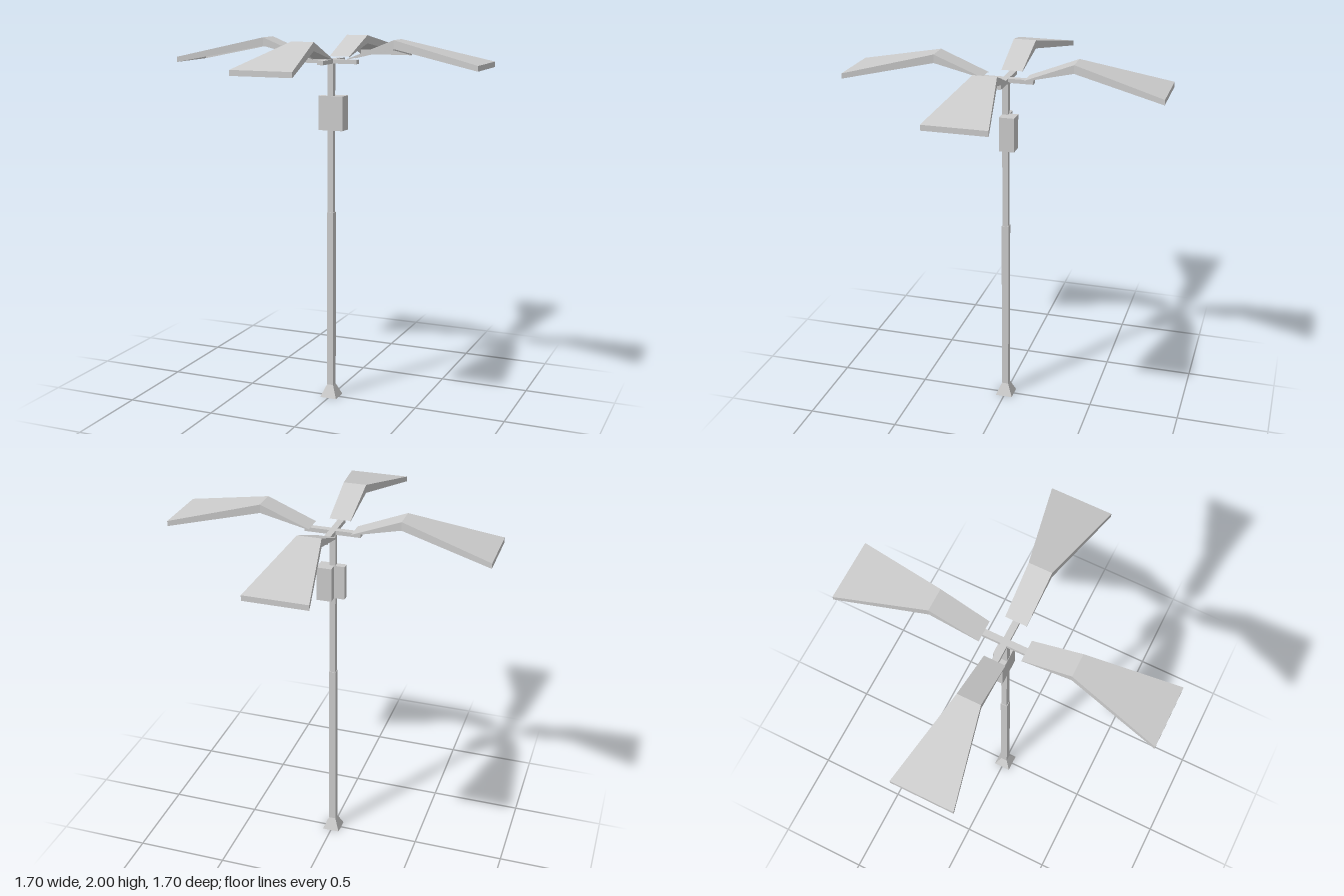
import * as THREE from 'three';

const material = new THREE.MeshStandardMaterial({ color: 0xcccccc, flatShading: true });
const shellMaterial = new THREE.MeshStandardMaterial({ color: 0xcccccc, flatShading: true, side: THREE.DoubleSide });

// Box given by its lower and upper corners
function block(name, [x0, y0, z0], [x1, y1, z1]) {
  const mesh = new THREE.Mesh(new THREE.BoxGeometry(x1 - x0, y1 - y0, z1 - z0), material);
  mesh.position.set((x0 + x1) / 2, (y0 + y1) / 2, (z0 + z1) / 2);
  mesh.name = name;
  return mesh;
}

// Square pole section, tapering from one half width to another
function taper(name, y0, y1, half0, half1) {
  const geometry = new THREE.CylinderGeometry(half1 * Math.SQRT2, half0 * Math.SQRT2, y1 - y0, 4);
  geometry.rotateY(Math.PI / 4);
  const mesh = new THREE.Mesh(geometry, material);
  mesh.position.y = (y0 + y1) / 2;
  mesh.name = name;
  return mesh;
}

// Bent leaf canopy: a shell with side walls and a tip wall, open underneath
function leafGeometry() {
  // distance out, half width, top height, lower rim height
  const stations = [
    [0.112, 0.057, 1.897, 1.893],
    [0.372, 0.062, 2.0, 1.955],
    [0.848, 0.163, 1.89, 1.862],
  ];
  const sections = stations.map(([x, w, top, low]) => [[x, low, -w], [x, top, -w], [x, top, w], [x, low, w]]);
  const points = [];
  const quad = (a, b, c, d) => points.push(...a, ...b, ...c, ...a, ...c, ...d);
  for (let s = 0; s < 2; s++) {
    for (let i = 0; i < 3; i++) {
      quad(sections[s][i], sections[s][i + 1], sections[s + 1][i + 1], sections[s + 1][i]);
    }
  }
  quad(...sections[2]);
  const geometry = new THREE.BufferGeometry();
  geometry.setAttribute('position', new THREE.Float32BufferAttribute(points, 3));
  geometry.computeVertexNormals();
  return geometry;
}

export function createModel() {
  const model = new THREE.Group();
  model.name = 'leafLampPost';

  // Foot and two-stage pole
  model.add(taper('foot', 0, 0.07, 0.048, 0.018));
  model.add(taper('lowerPole', 0.07, 1.06, 0.019, 0.019));
  model.add(taper('upperPole', 1.06, 1.885, 0.016, 0.016));

  // Panel across the pole with a box behind its left half
  model.add(block('panel', [-0.067, 1.51, -0.018], [0.071, 1.695, 0.018]));
  model.add(block('controlBox', [-0.01, 1.51, -0.064], [0.071, 1.695, -0.018]));

  // Crossed arms under the leaves
  model.add(block('sideArms', [-0.15, 1.868, -0.017], [0.15, 1.89, 0.017]));
  model.add(block('frontArm', [-0.017, 1.868, 0.017], [0.017, 1.89, 0.15]));
  model.add(block('backArm', [-0.017, 1.868, -0.15], [0.017, 1.89, -0.017]));

  // Four leaves around the pole
  const geometry = leafGeometry();
  ['leftLeaf', 'backLeaf', 'rightLeaf', 'frontLeaf'].forEach((name, i) => {
    const leaf = new THREE.Mesh(geometry, shellMaterial);
    leaf.rotation.y = (i * Math.PI) / 2;
    leaf.name = name;
    model.add(leaf);
  });
  return model;
}
